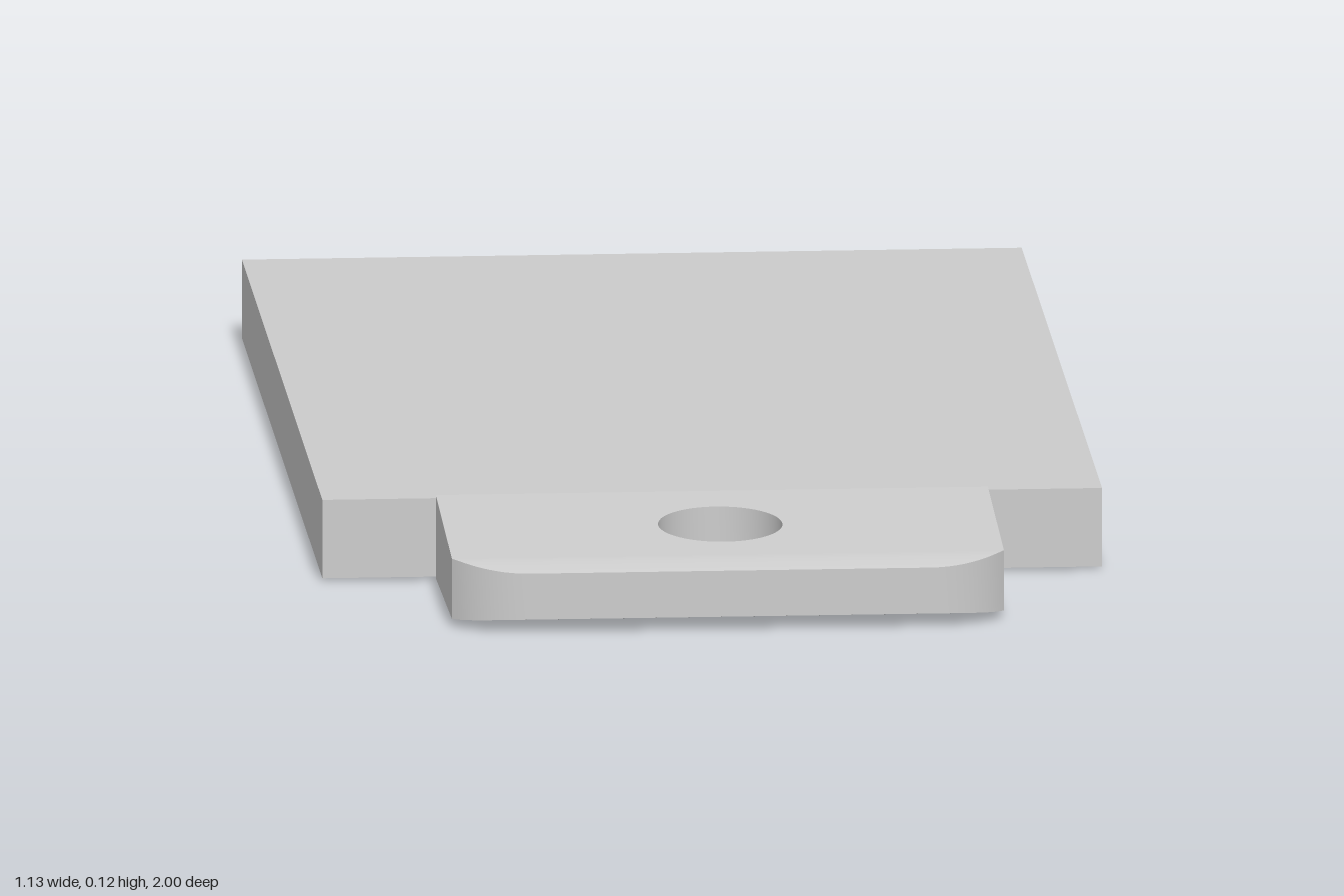
import * as THREE from 'three';
import { mergeGeometries, toCreasedNormals } from 'three/addons/utils/BufferGeometryUtils.js';

const BACK = 0.62, SHOULDER = 0.945, HALF = 0.4;

// Tapered thickness of the tab: straight slope, then a softly rounded nose
const drop = (z, slope, nose) => z <= SHOULDER
  ? slope * (z - BACK) / (SHOULDER - BACK)
  : slope + nose * Math.pow(Math.min(1, (z - SHOULDER) / (1 - SHOULDER)), 1.4);
const topY = (z) => 0.123 - drop(z, 0.023, 0.012);
const bottomY = (z) => drop(z, 0.011, 0.009);

// Flat outline (x, z) laid onto the top or bottom surface
function skin(shape, heightAt, up) {
  const flat = new THREE.ShapeGeometry(shape);
  const p = flat.attributes.position;
  for (let i = 0; i < p.count; i++) {
    const z = p.getY(i);
    p.setXYZ(i, p.getX(i), heightAt(z), z);
  }
  const index = flat.index.array;
  if (up) {
    for (let i = 0; i < index.length; i += 3) {
      [index[i + 1], index[i + 2]] = [index[i + 2], index[i + 1]];
    }
  }
  const g = flat.toNonIndexed();
  g.deleteAttribute('uv');
  g.deleteAttribute('normal');
  return g;
}

// Upright wall between the two surfaces along a closed loop of points
function wall(points) {
  const v = [];
  points.forEach((a, i) => {
    const b = points[(i + 1) % points.length];
    const al = [a.x, bottomY(a.y), a.y], ah = [a.x, topY(a.y), a.y];
    const bl = [b.x, bottomY(b.y), b.y], bh = [b.x, topY(b.y), b.y];
    v.push(...al, ...bh, ...bl, ...al, ...ah, ...bh);
  });
  const g = new THREE.BufferGeometry();
  g.setAttribute('position', new THREE.Float32BufferAttribute(v, 3));
  return g;
}

function tabGeometry() {
  const V = (x, z) => new THREE.Vector2(x, z);
  const mirror = (p) => V(-p.x, p.y);

  // Rounded front corner, from the side edge to the front edge
  const corner = [];
  const steps = 10, radius = 0.1375, sweep = Math.asin(0.8);
  for (let i = 0; i <= steps; i++) {
    const t = sweep * (1 - i / steps);
    corner.push(V(0.29 + radius * Math.sin(t), 1 - radius + radius * Math.cos(t)));
  }
  corner[0].set(HALF, SHOULDER);

  // Keyring hole
  const hole = [];
  for (let i = 0; i < 48; i++) {
    const a = i / 48 * Math.PI * 2;
    hole.push(V(0.09 * Math.cos(a), 0.79 + 0.09 * Math.sin(a)));
  }

  // Sloped plate, followed by narrowing strips of the nose
  const plate = new THREE.Shape([V(-HALF, BACK), V(HALF, BACK), corner[0], mirror(corner[0])]);
  plate.holes.push(new THREE.Path(hole));
  const strips = [plate];
  for (let i = 0; i < steps; i++) {
    const a = corner[i], b = corner[i + 1];
    strips.push(new THREE.Shape([mirror(a), a, b, mirror(b)]));
  }

  const outline = [V(-HALF, BACK), V(HALF, BACK), ...corner, ...corner.map(mirror).reverse()];
  const parts = [wall(outline), wall([...hole].reverse())];
  for (const s of strips) parts.push(skin(s, topY, true), skin(s, bottomY, false));
  return toCreasedNormals(mergeGeometries(parts), 0.5);
}

export function createModel() {
  const group = new THREE.Group();
  const material = new THREE.MeshStandardMaterial({ color: 0xcccccc });

  // Flat rectangular body
  const body = new THREE.Mesh(new THREE.BoxGeometry(1.13, 0.116, 1.627), material);
  body.position.set(0, 0.062, -0.1865);
  body.name = 'body';

  // Tapered tab with a round hole
  const tab = new THREE.Mesh(tabGeometry(), material);
  tab.name = 'holedTab';

  group.add(body, tab);
  return group;
}
